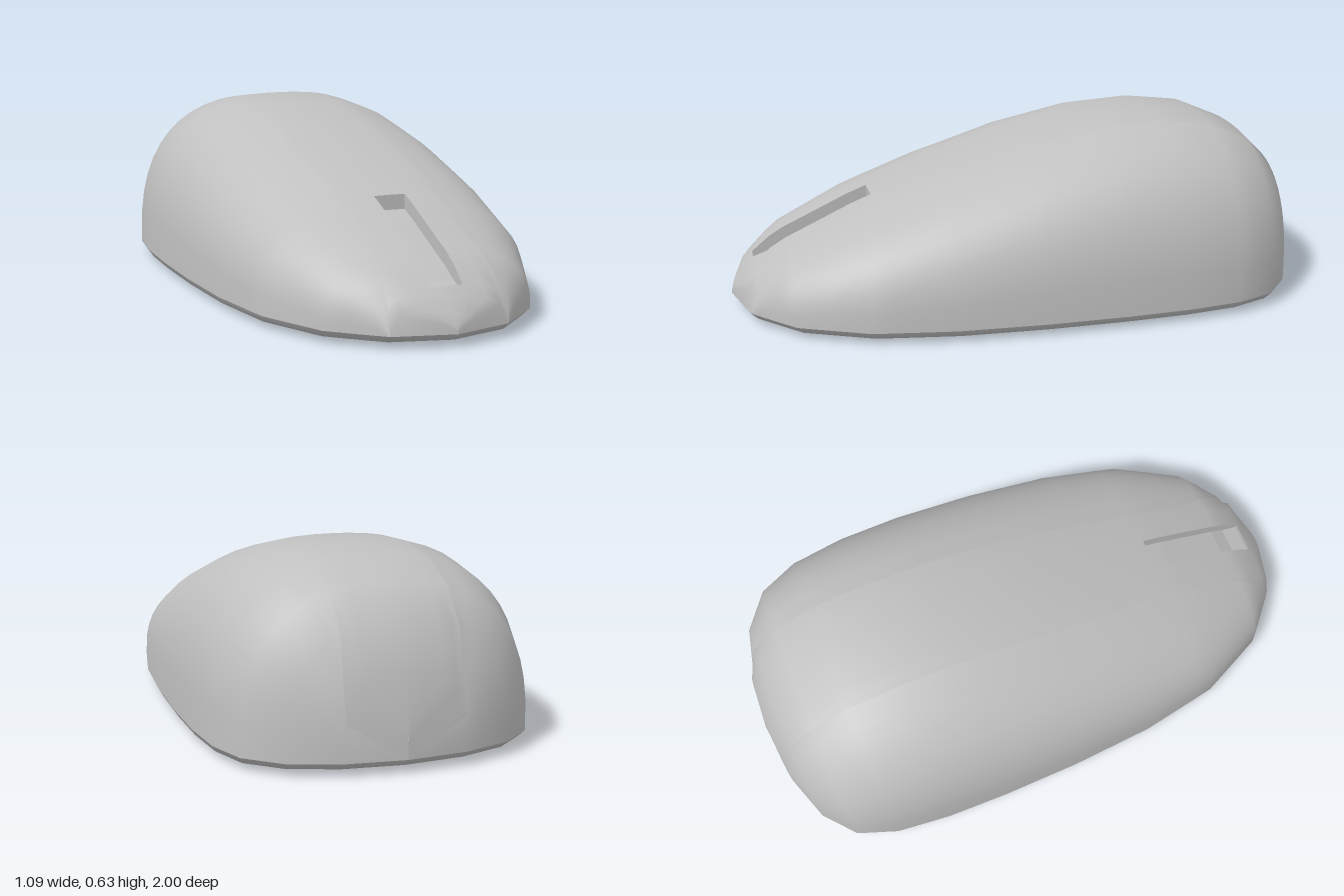
import * as THREE from 'three';

const RIM = 0.045;   // height of the lower edge of the shell
const N = 2.6;       // roundness of the cross-sections
const SLOT = 0.055;  // half width of the wheel slot
const SLOT_FRONT = 0.92, SLOT_BACK = 0.51;

// Cross-sections from front to back: z, half width, height
const STATIONS = [
  [1, 0.0001, 0.06], [0.985, 0.06, 0.1], [0.95, 0.2, 0.145], [0.92, 0.235, 0.175], [0.86, 0.304, 0.225],
  [0.81, 0.36, 0.255], [0.7, 0.413, 0.305], [0.58, 0.47, 0.36], [0.51, 0.483, 0.387],
  [0.3, 0.52, 0.465], [0, 0.54, 0.56], [-0.28, 0.545, 0.62], [-0.5, 0.54, 0.633],
  [-0.69, 0.52, 0.61], [-0.83, 0.47, 0.55], [-0.925, 0.36, 0.46], [-0.98, 0.2, 0.31],
  [-1, 0.0001, 0.14],
];

// Half width of the centre panel, slightly waisted near the front
function panelHalf(z, w) {
  let x = 0.19;
  if (z > 0.65) x = 0.16 + 0.04 * Math.min(1, (z - 0.65) / 0.3);
  else if (z > 0.1) x = 0.19 - 0.03 * (z - 0.1) / 0.55;
  return Math.min(w, x);
}

// Point on the shell at offset u (-1..1) across a section
function shellPoint([z, w, h], u) {
  const v = Math.pow(Math.max(0, 1 - Math.pow(Math.abs(u), N)), 1 / N);
  return [u * w, RIM + (h - RIM) * v, z];
}

// Surface through rows of points, leaving out cells where skip is true
function grid(rows, skip = () => false) {
  const cols = rows[0].length;
  const index = [];
  for (let i = 0; i < rows.length - 1; i++) {
    for (let j = 0; j < cols - 1; j++) {
      if (skip(i, j)) continue;
      const a = i * cols + j, c = a + cols;
      index.push(a, a + 1, c, a + 1, c + 1, c);
    }
  }
  const geo = new THREE.BufferGeometry();
  geo.setAttribute('position', new THREE.Float32BufferAttribute(rows.flat(2), 3));
  geo.setIndex(index);
  geo.computeVertexNormals();
  return geo;
}

function flat(geo) {
  const g = geo.toNonIndexed();
  g.computeVertexNormals();
  return g;
}

export function createModel() {
  const group = new THREE.Group();
  group.name = 'computerMouse';
  const grey = new THREE.MeshStandardMaterial({ color: 0xc0c0c0, side: THREE.DoubleSide });
  grey.name = 'grey';
  const add = (name, geo) => {
    const mesh = new THREE.Mesh(geo, grey);
    mesh.name = name;
    group.add(mesh);
  };

  // Centre panel with an opening for the slot
  const panelRows = STATIONS.map((s) => {
    const [z, w] = s;
    const e = panelHalf(z, w);
    const k = Math.min(SLOT, e * 0.4);
    const half = [k, (k + e) / 2, k + (e - k) * 0.8, e];
    const xs = [...half.map((x) => -x).reverse(), 0, ...half];
    return xs.map((x) => shellPoint(s, x / w));
  });
  const inSlot = (i) => STATIONS[i][0] <= SLOT_FRONT && STATIONS[i][0] > SLOT_BACK;
  add('centrePanel', grid(panelRows, (i, j) => inSlot(i) && (j === 3 || j === 4)));

  // Side shells
  for (const side of [1, -1]) {
    const rows = STATIONS.map((s) => {
      const u0 = panelHalf(s[0], s[1]) / s[1];
      const t0 = Math.asin(Math.min(1, Math.pow(u0, N / 2)));
      const row = [];
      for (let j = 0; j <= 10; j++) {
        const t = t0 + (Math.PI / 2 - t0) * j / 10;
        row.push(shellPoint(s, side * Math.min(1, Math.pow(Math.sin(t), 2 / N))));
      }
      return side > 0 ? row : row.reverse();
    });
    add(side > 0 ? 'leftShell' : 'rightShell', grid(rows));
  }

  // Wheel slot: walls, floor and a shallow ledge at the front
  const slotStations = STATIONS.filter(([z]) => z <= SLOT_FRONT && z >= SLOT_BACK);
  const slotRow = (s, depth) => [[-SLOT, 0], [-SLOT, depth], [0, depth], [SLOT, depth], [SLOT, 0]].map(([x, d]) => {
    const p = shellPoint(s, x / s[1]);
    return [p[0], p[1] - d, p[2]];
  });
  const slotRows = slotStations.map((s) => slotRow(s, s[0] === SLOT_FRONT ? 0.02 : 0.05));
  slotRows.unshift(slotRow(slotStations[0], 0));
  slotRows.push(slotRow(slotStations[slotStations.length - 1], 0));
  add('wheelSlot', flat(grid(slotRows)));

  // Bevelled rim and underside
  const outline = [
    ...STATIONS.map(([z, w]) => [-w, z]),
    ...STATIONS.map(([z, w]) => [w, z]).reverse(),
  ];
  const ring = (scale, y) => outline.map(([x, z]) => [x * scale, y, z * scale]);
  add('rim', grid([ring(1, RIM), ring(0.975, 0.022), ring(0.88, 0.01)]));
  add('underside', grid([ring(0.88, 0.01), ring(0.7, 0.002), ring(0.0001, 0)]));
  return group;
}
